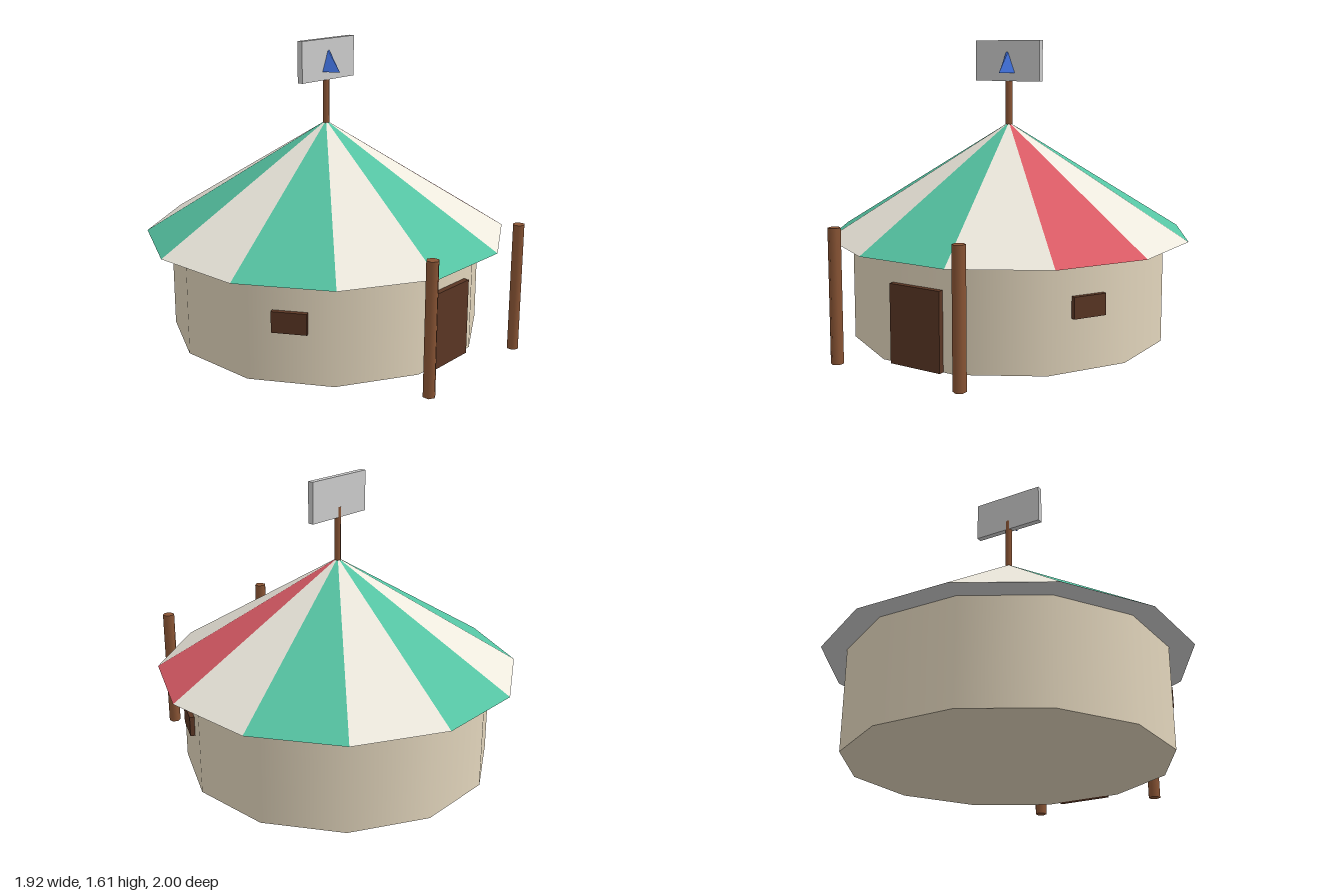
import * as THREE from 'three';
import { ConvexGeometry } from 'three/addons/geometries/ConvexGeometry.js';

const SIDES = 12, STEP = (Math.PI * 2) / SIDES, AXIS_Z = -0.04;
const ROOF_R = 0.96 / Math.cos(STEP / 2), WALL_R = 0.83 / Math.cos(STEP / 2);
const EAVES = 0.55, PEAK = 1.16;

const mat = (color, extra = {}) => {
  const m = new THREE.MeshStandardMaterial({ color });
  return Object.assign(m, extra);
};

export function createModel() {
  const group = new THREE.Group();
  const wood = mat(0x8a5535), darkWood = mat(0x5a3624), grey = mat(0xcccccc);
  const flat = { flatShading: true };
  const stripes = {
    green: mat(0x55c3a2, flat),
    cream: mat(0xece8dc, flat),
    red: mat(0xdb5c66, flat),
  };

  const add = (name, geometry, material, x, y, z, turn = 0) => {
    const mesh = new THREE.Mesh(geometry, material);
    mesh.name = name;
    mesh.position.set(x, y, z);
    mesh.rotation.y = turn;
    group.add(mesh);
    return mesh;
  };

  // Round wall
  add('wall', new THREE.CylinderGeometry(WALL_R, WALL_R, EAVES, SIDES, 1, false, STEP / 2),
    mat(0xe2d5bc), 0, EAVES / 2, AXIS_Z);

  // Striped roof, one wedge per side, starting at the front
  const roof = new THREE.Group();
  roof.name = 'roof';
  const wedge = new THREE.ConeGeometry(ROOF_R, PEAK - EAVES, 1, 1, true, -STEP / 2, STEP);
  for (let i = 0; i < SIDES; i++) {
    const color = i === 2 ? 'red' : i % 2 ? 'cream' : 'green';
    const mesh = new THREE.Mesh(wedge, stripes[color]);
    mesh.name = 'roofStripe';
    mesh.position.y = (PEAK + EAVES) / 2;
    mesh.rotation.y = i * STEP;
    roof.add(mesh);
  }
  roof.position.z = AXIS_Z;
  group.add(roof);

  // Flat roof underside
  const under = new THREE.CircleGeometry(ROOF_R, SIDES, STEP / 2).rotateX(Math.PI / 2);
  add('roofUnderside', under, grey, 0, EAVES, AXIS_Z);

  // Door
  add('door', new THREE.BoxGeometry(0.304, 0.41, 0.04), darkWood, 0, 0.205, 0.8);

  // Windows and entrance posts, mirrored
  for (const s of [1, -1]) {
    const a = s * STEP * 2;
    add('window', new THREE.BoxGeometry(0.18, 0.11, 0.03), darkWood,
      Math.sin(a) * 0.84, 0.325, AXIS_Z + Math.cos(a) * 0.84, a);
    add('post', new THREE.CylinderGeometry(0.033, 0.033, 0.69, 6), wood, s * 0.375, 0.345, 0.966);
  }

  // Mast with sign board
  add('mast', new THREE.CylinderGeometry(0.0185, 0.0185, 0.32, 6), wood, 0, 1.28, AXIS_Z);
  add('signBoard', new THREE.BoxGeometry(0.41, 0.22, 0.033), grey, 0, 1.495, -0.037);

  // Blue three-sided pennant set against the board
  const tip = new ConvexGeometry([
    new THREE.Vector3(-0.05, 0, -0.003), new THREE.Vector3(0.05, 0, -0.003),
    new THREE.Vector3(0, 0, 0.08), new THREE.Vector3(-0.006, 0.115, -0.003),
    new THREE.Vector3(0.006, 0.115, -0.003),
  ]);
  add('pennant', tip, mat(0x3f6fd8, flat), 0, 1.43, -0.02);

  return group;
}
